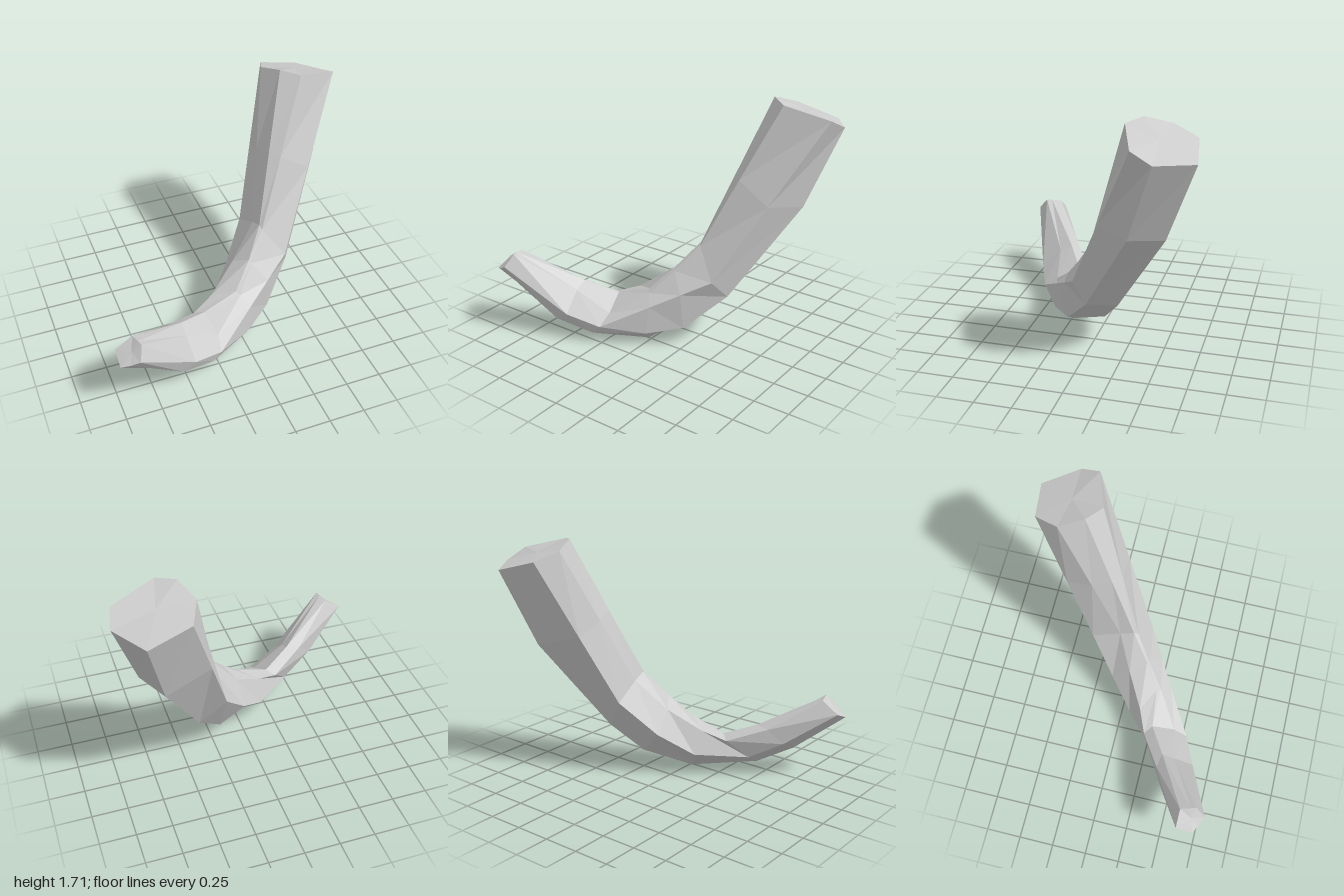
import * as THREE from 'three';

const SIDES = 7;

// Cross-sections from thin end to thick end. Each runs from the inside of the
// bend, across the front, round the outside and back along the rear.
const SECTIONS = [
  [[-0.86, 0.6, 0.67], [-0.85, 0.6, 0.71], [-0.88, 0.52, 0.78], [-0.94, 0.485, 0.75], [-1, 0.46, 0.72], [-1, 0.51, 0.6], [-0.88, 0.59, 0.6]],
  [[-0.48, 0.38, 0.39], [-0.48, 0.34, 0.48], [-0.46, 0.21, 0.62], [-0.55, 0.15, 0.62], [-0.67, 0.19, 0.58], [-0.68, 0.27, 0.42], [-0.58, 0.37, 0.37]],
  [[-0.27, 0.3, 0.27], [-0.23, 0.21, 0.43], [-0.24, 0.14, 0.53], [-0.3, 0.08, 0.535], [-0.42, 0.05, 0.49], [-0.45, 0.14, 0.33], [-0.33, 0.27, 0.22]],
  [[-0.02, 0.39, 0.24], [0, 0.37, 0.27], [0.05, 0.3, 0.34], [0.03, 0.1, 0.36], [-0.02, 0, 0.245], [-0.16, 0.17, 0.07], [-0.17, 0.33, 0.15]],
  [[0.12, 0.55, 0.13], [0.13, 0.53, 0.15], [0.23, 0.4, 0.225], [0.24, 0.14, 0.2], [0.2, 0.16, -0.06], [0.03, 0.33, -0.11], [0.04, 0.48, 0.02]],
  [[0.25, 0.73, 0], [0.26, 0.71, 0.03], [0.41, 0.5, 0.11], [0.47, 0.37, 0], [0.39, 0.35, -0.2], [0.22, 0.58, -0.3], [0.24, 0.69, -0.1]],
  [[0.55, 1.71, -0.4], [0.67, 1.69, -0.31], [0.97, 1.61, -0.41], [1, 1.54, -0.55], [0.84, 1.52, -0.785], [0.55, 1.6, -0.74], [0.48, 1.66, -0.57]],
];

// Extra section halfway up the thick arm, swollen on its two outer corners
const OUTER_CORNERS = [3, 4];
const SWELL = new THREE.Vector3(0.1, 0.07, -0.1);

function buildRings() {
  const rings = SECTIONS.map((section) => section.map((p) => new THREE.Vector3(...p)));
  const [bend, top] = rings.slice(-2);
  const middle = bend.map((p, j) => p.clone().lerp(top[j], 0.48));
  OUTER_CORNERS.forEach((j) => middle[j].add(SWELL));
  rings.splice(-1, 0, middle);
  return rings;
}

function centreOf(ring) {
  return ring.reduce((sum, p) => sum.add(p), new THREE.Vector3()).divideScalar(SIDES);
}

function buildGeometry() {
  const rings = buildRings();
  const positions = [];
  const face = (...corners) => corners.forEach((p) => positions.push(p.x, p.y, p.z));
  const first = rings[0];
  const last = rings[rings.length - 1];
  const firstCentre = centreOf(first);
  const lastCentre = centreOf(last);

  for (let j = 0; j < SIDES; j++) {
    const k = (j + 1) % SIDES;
    // faceted skin
    for (let i = 0; i < rings.length - 1; i++) {
      const p = rings[i];
      const q = rings[i + 1];
      face(p[j], p[k], q[k]);
      face(p[j], q[k], q[j]);
    }
    // flat ends
    face(firstCentre, first[k], first[j]);
    face(lastCentre, last[j], last[k]);
  }

  const geometry = new THREE.BufferGeometry();
  geometry.setAttribute('position', new THREE.Float32BufferAttribute(positions, 3));
  geometry.computeVertexNormals();
  return geometry;
}

export function createModel() {
  const grey = new THREE.MeshStandardMaterial({ color: 0xcccccc, flatShading: true });
  grey.name = 'light grey';

  const branch = new THREE.Mesh(buildGeometry(), grey);
  branch.name = 'bentBranch';

  const group = new THREE.Group();
  group.name = 'branch';
  group.add(branch);
  return group;
}
